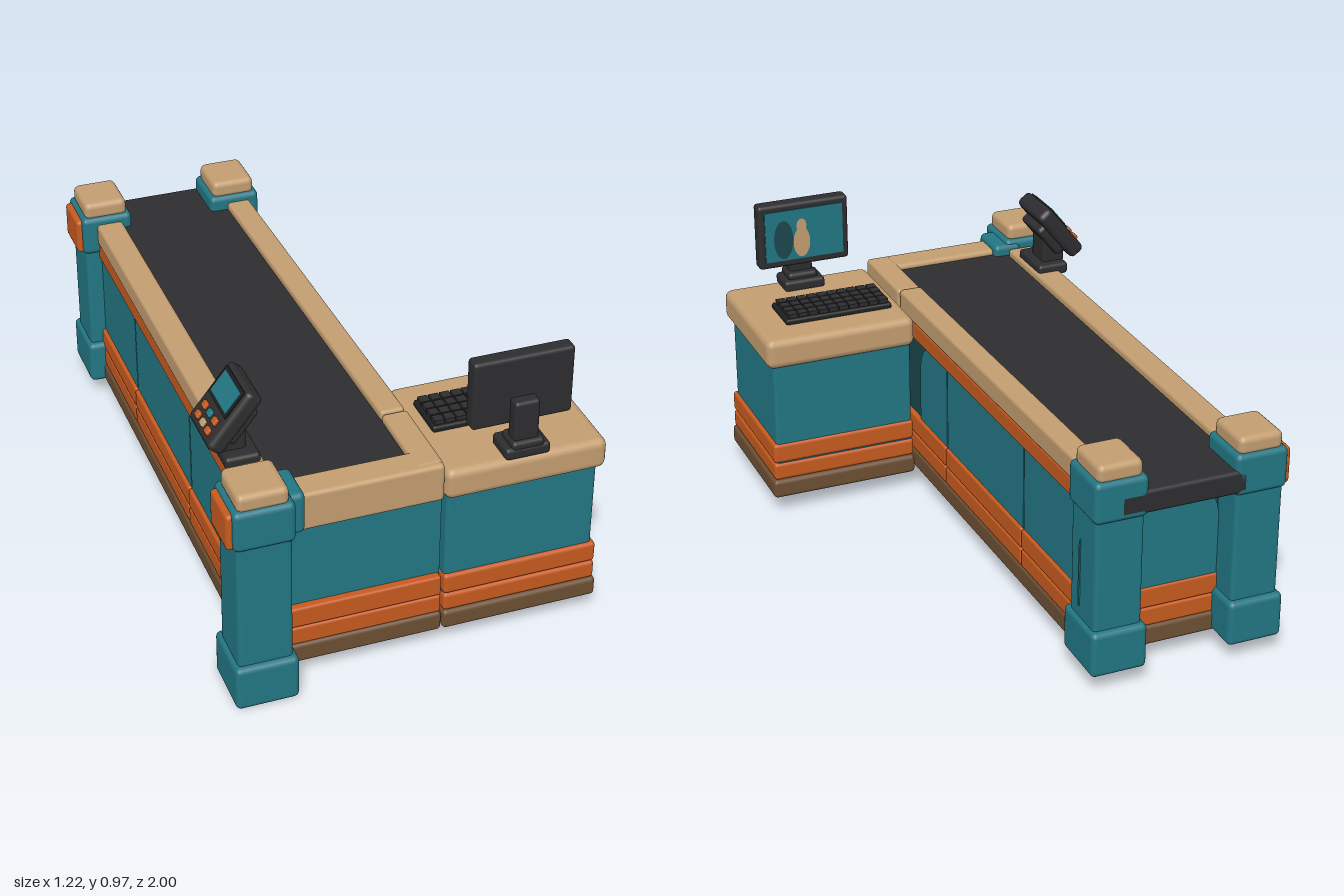
import * as THREE from 'three';
import { RoundedBoxGeometry } from 'three/addons/geometries/RoundedBoxGeometry.js';

const mat = (name, color) => {
  const m = new THREE.MeshStandardMaterial({ color });
  m.name = name;
  return m;
};

export function createModel() {
  const wood = mat('wood', 0xc29d70);
  const teal = mat('teal', 0x227683);
  const darkTeal = mat('dark teal', 0x1a464d);
  const orange = mat('orange', 0xc65a1f);
  const brown = mat('brown', 0x6c4f33);
  const dark = mat('charcoal', 0x2d2d2f);
  const black = mat('black', 0x1f1f21);

  const root = new THREE.Group();
  root.name = 'checkoutCounter';
  const TAPER = 0.02; // the right wall of the lane widens towards the front

  const group = (name, parent = root) => {
    const g = new THREE.Group();
    g.name = name;
    parent.add(g);
    return g;
  };
  const add = (name, geo, material, parent) => {
    const m = new THREE.Mesh(geo, material);
    m.name = name;
    parent.add(m);
    return m;
  };
  // rounded box from its limits
  const box = (parent, name, material, [x0, x1], [y0, y1], [z0, z1], r = 0.01, skew = false) => {
    const w = x1 - x0, h = y1 - y0, d = z1 - z0;
    const geo = r > 0
      ? new RoundedBoxGeometry(w, h, d, 2, Math.min(r, w * 0.45, h * 0.45, d * 0.45))
      : new THREE.BoxGeometry(w, h, d);
    geo.translate((x0 + x1) / 2, (y0 + y1) / 2, (z0 + z1) / 2);
    if (skew) {
      const p = geo.attributes.position;
      for (let i = 0; i < p.count; i++) {
        if (p.getX(i) > -0.2) p.setX(i, p.getX(i) + TAPER * p.getZ(i));
      }
    }
    return add(name, geo, material, parent);
  };
  // wall panel with optional rounded upper corners, facing +z before turning
  const panel = (parent, x0, x1, rl, rr, turn, pos) => {
    const y0 = 0.25, y1 = 0.552;
    const s = new THREE.Shape();
    s.moveTo(x0, y0);
    s.lineTo(x1, y0);
    s.lineTo(x1, y1 - rr * 1.5);
    if (rr) s.bezierCurveTo(x1, y1 - rr * 0.4, x1 - rr * 0.3, y1, x1 - rr, y1);
    s.lineTo(x0 + rl, y1);
    if (rl) s.bezierCurveTo(x0 + rl * 0.3, y1, x0, y1 - rl * 0.4, x0, y1 - rl * 1.5);
    s.closePath();
    const geo = new THREE.ExtrudeGeometry(s, { depth: 0.008, bevelEnabled: false });
    const m = add('wallPanel', geo, teal, parent);
    m.rotation.y = turn;
    m.position.set(...pos);
  };

  // Belt lane: core, wall panels, bumper slats and plinth
  const lane = group('lane');
  box(lane, 'laneCore', darkTeal, [-0.48, 0.05], [0.1, 0.6], [-0.87, 0.875], 0, true);
  const cuts = [-0.84, -0.4, 0.21, 0.875];
  for (let i = 0; i < 3; i++) {
    const a = cuts[i] + 0.003, b = cuts[i + 1] - 0.003;
    const back = i === 0 ? 0.07 : 0;
    panel(lane, i === 2 ? -0.445 : -b, i === 0 ? 0.795 : -a, i === 2 ? 0.1 : 0, back, Math.PI / 2 + TAPER, [0.05, 0, 0]);
    panel(lane, a, b, 0, 0, -Math.PI / 2, [-0.48, 0, 0]);
  }
  // continuous right wall stretch hidden behind the desk is closed by the core
  panel(lane, -0.405, 0.088, 0.1, 0, 0, [0, 0, 0.875]);
  panel(lane, -0.08, 0.385, 0.08, 0.08, Math.PI, [0, 0, -0.87]);
  const bands = [-0.885, -0.4, 0.21, 0.91];
  for (let i = 0; i < 3; i++) {
    const z = [bands[i] + 0.001, bands[i + 1] - 0.001];
    box(lane, 'bumperSlat', orange, [-0.5, 0.068], [0.126, 0.188], z, 0.008, true);
    box(lane, 'bumperSlat', orange, [-0.5, 0.068], [0.19, 0.26], z, 0.008, true);
  }
  box(lane, 'lanePlinth', brown, [-0.505, 0.07], [0.06, 0.127], [-0.89, 0.915], 0.012, true);
  box(lane, 'undersidePlate', black, [-0.44, 0.0], [0.056, 0.064], [-0.85, 0.76], 0);

  // Belt with its wooden side and end rails
  box(lane, 'conveyorBelt', dark, [-0.42, 0.005], [0.585, 0.662], [-0.99, 0.825], 0.012);
  box(lane, 'leftRail', wood, [-0.5, -0.41], [0.608, 0.686], [-0.83, 0.79], 0.012);
  box(lane, 'rightRail', wood, [-0.013, 0.067], [0.608, 0.686], [-0.83, 0.604], 0.012, true);
  box(lane, 'cornerRail', wood, [0.0, 0.084], [0.55, 0.682], [0.606, 0.9], 0.012);
  box(lane, 'frontRail', wood, [-0.42, 0.084], [0.55, 0.68], [0.815, 0.917], 0.014);
  box(lane, 'leftTrim', orange, [-0.496, -0.42], [0.55, 0.612], [-0.83, 0.8], 0.008);
  box(lane, 'rightTrim', orange, [-0.01, 0.066], [0.55, 0.612], [-0.83, 0.62], 0.008, true);

  // Corner posts with foot, collar and wooden cap
  const post = (name, cx, cz, y0, k, badge) => {
    const g = group(name);
    const xr = (h) => [cx - h * k, cx + h * k];
    const zr = (h) => [cz - h, cz + h];
    box(g, 'postFoot', teal, xr(0.1), [y0, y0 + 0.152], zr(0.106), 0.018);
    box(g, 'postShaft', teal, xr(0.086), [y0 + 0.1, 0.62], zr(0.085), 0.014);
    box(g, 'postCollar', teal, xr(0.095), [0.575, 0.712], zr(0.096), 0.018);
    box(g, 'postCap', wood, xr(0.08), [0.7, 0.762], zr(0.083), 0.02);
    if (badge) box(g, 'postBadge', orange, [cx - 0.095 * k - 0.018, cx - 0.05], [0.577, 0.7], zr(0.078), 0.014);
  };
  post('frontPost', -0.5, 0.894, 0, 1, true);
  post('backLeftPost', -0.463, -0.894, 0.06, 0.92, true);
  post('backRightPost', -0.003, -0.894, 0.06, 0.92, false);
  box(root, 'postBracket', teal, [-0.46, -0.36], [0.56, 0.7], [0.79, 0.94], 0.018);

  // Side desk
  const desk = group('desk');
  box(desk, 'deskBody', teal, [0.098, 0.588], [0.12, 0.57], [0.452, 0.9], 0.012);
  box(desk, 'deskSlat', orange, [0.094, 0.6], [0.126, 0.188], [0.445, 0.912], 0.012);
  box(desk, 'deskSlat', orange, [0.094, 0.6], [0.19, 0.26], [0.445, 0.912], 0.012);
  box(desk, 'deskPlinth', brown, [0.092, 0.606], [0.06, 0.126], [0.438, 0.918], 0.014);
  box(desk, 'deskTop', wood, [0.087, 0.611], [0.546, 0.65], [0.432, 0.922], 0.026);

  // Keyboard
  const keyboard = group('keyboard');
  box(keyboard, 'keyboardBase', black, [0.128, 0.505], [0.645, 0.668], [0.545, 0.71], 0.008);
  for (let r = 0; r < 4; r++) {
    for (let c = 0; c < 10; c++) {
      const x = 0.138 + c * 0.036, z = 0.555 + r * 0.037;
      box(keyboard, 'key', dark, [x, x + 0.031], [0.662, 0.682], [z, z + 0.032], 0);
    }
  }

  // Monitor with its screen turned to the cashier at the back
  const monitor = group('monitor');
  box(monitor, 'monitorFoot', dark, [0.275, 0.42], [0.645, 0.685], [0.81, 0.92], 0.012);
  box(monitor, 'monitorFootStep', dark, [0.295, 0.4], [0.675, 0.705], [0.83, 0.92], 0.012);
  box(monitor, 'monitorNeck', dark, [0.304, 0.386], [0.68, 0.835], [0.855, 0.905], 0.012);
  box(monitor, 'monitorCase', dark, [0.183, 0.507], [0.742, 0.973], [0.815, 0.868], 0.012);
  box(monitor, 'monitorScreen', teal, [0.205, 0.485], [0.768, 0.95], [0.811, 0.817], 0);
  const blob = (material, x, y, w, h, z) => {
    const geo = new THREE.CircleGeometry(1, 20);
    geo.scale(w, h, 1);
    geo.rotateY(Math.PI);
    add('screenShape', geo, material, monitor).position.set(x, y, z);
  };
  blob(darkTeal, 0.42, 0.845, 0.035, 0.07, 0.8095);
  blob(wood, 0.355, 0.83, 0.03, 0.055, 0.809);
  blob(wood, 0.355, 0.89, 0.018, 0.025, 0.8085);

  // Tilted card terminal facing the customer at the left side
  const terminal = group('cardTerminal');
  box(terminal, 'terminalBase', dark, [-0.53, -0.42], [0.67, 0.712], [0.54, 0.72], 0.012);
  box(terminal, 'terminalNeck', dark, [-0.53, -0.45], [0.7, 0.82], [0.575, 0.675], 0.012);
  const head = group('terminalHead', terminal);
  const a = Math.atan2(0.165, 0.132);
  const up = new THREE.Vector3(Math.cos(a), Math.sin(a), 0);
  const out = new THREE.Vector3(-Math.sin(a), Math.cos(a), 0);
  head.quaternion.setFromRotationMatrix(
    new THREE.Matrix4().makeBasis(new THREE.Vector3(0, 0, 1), up, out));
  head.position.set(-0.52, 0.846, 0.622);
  box(head, 'terminalCase', dark, [-0.099, 0.099], [-0.108, 0.108], [-0.058, 0], 0.018);
  box(head, 'terminalBack', dark, [-0.075, 0.075], [-0.07, 0.06], [-0.088, -0.04], 0.014);
  box(head, 'terminalBezel', black, [-0.08, 0.08], [-0.004, 0.094], [-0.002, 0.003], 0);
  box(head, 'terminalScreen', teal, [-0.07, 0.07], [0.006, 0.084], [-0.002, 0.006], 0);
  const keyColors = [orange, teal, orange, orange, wood, orange];
  keyColors.forEach((m, i) => {
    const x = (i % 3 - 1) * 0.046, y = -0.035 - Math.floor(i / 3) * 0.036;
    box(head, 'terminalButton', m, [x - 0.014, x + 0.014], [y - 0.011, y + 0.011], [-0.005, 0.01], 0.005);
  });

  return root;
}
